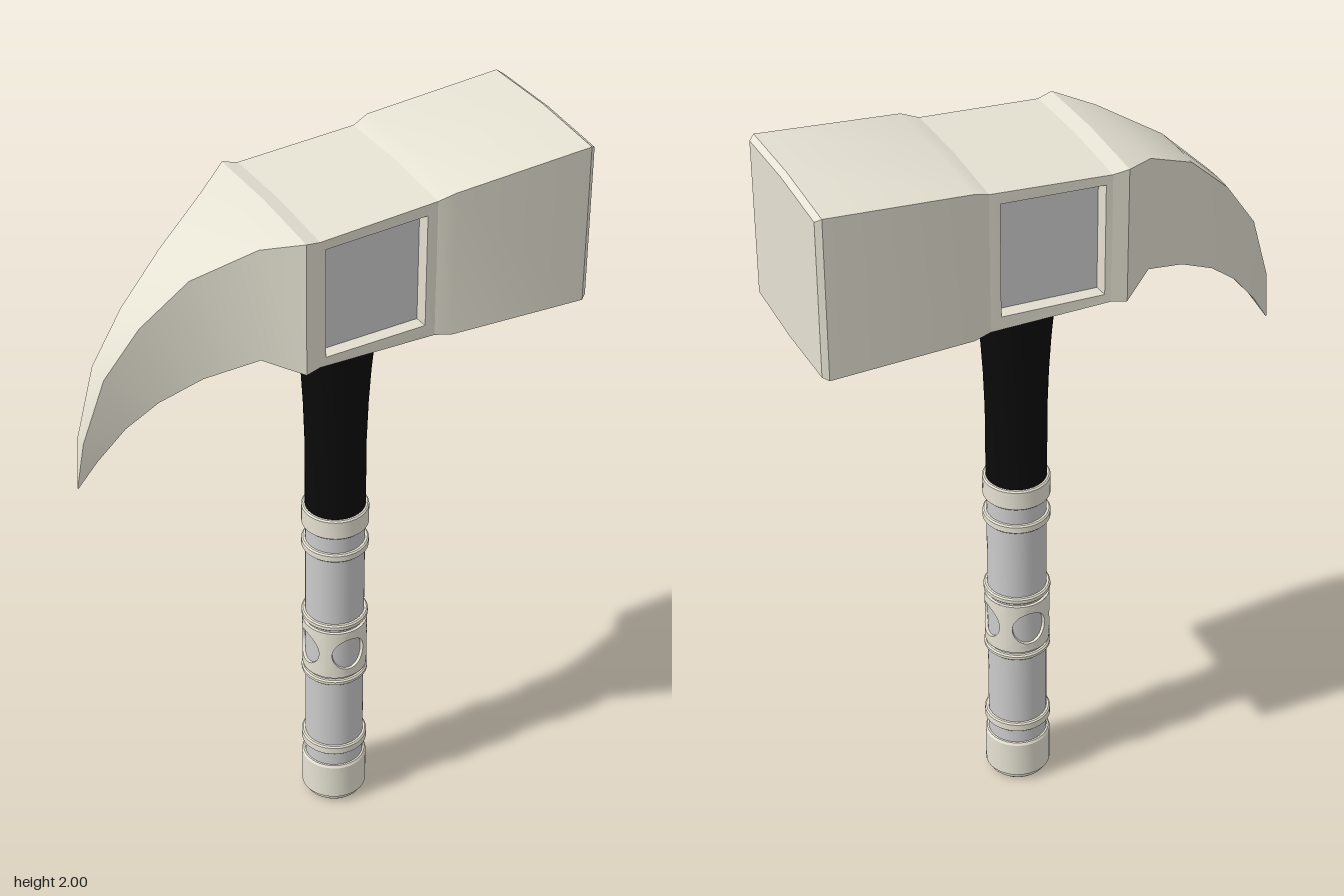
import * as THREE from 'three';
import { toCreasedNormals } from 'three/addons/utils/BufferGeometryUtils.js';

const stone = new THREE.MeshStandardMaterial({ color: 0xe6e2d3 });
const black = new THREE.MeshStandardMaterial({ color: 0x0a0a0a });
const grey = new THREE.MeshStandardMaterial({ color: 0xcccccc });
const AXIS = 0.06; // x of the handle

// Skins a row of equal-length rings; skip lists ring edges left open
function loft(rings, { cap = false, skip = [] } = {}) {
  const out = [];
  const tri = (...points) => points.forEach((p) => out.push(...p));
  for (let i = 0; i < rings.length - 1; i++) {
    const n = rings[i].length;
    for (let j = 0; j < n; j++) {
      if (skip.includes(j)) continue;
      const k = (j + 1) % n;
      tri(rings[i][j], rings[i][k], rings[i + 1][k]);
      tri(rings[i][j], rings[i + 1][k], rings[i + 1][j]);
    }
  }
  const last = rings[rings.length - 1];
  if (cap) for (let j = 1; j < last.length - 1; j++) tri(last[0], last[j], last[j + 1]);
  const geo = new THREE.BufferGeometry();
  geo.setAttribute('position', new THREE.Float32BufferAttribute(out, 3));
  return toCreasedNormals(geo, 0.5);
}

function add(parent, name, geo, mat) {
  const mesh = new THREE.Mesh(geo, mat);
  mesh.name = name;
  parent.add(mesh);
  return mesh;
}

function turned(parent, name, profile, mat) {
  const points = profile.map(([r, y]) => new THREE.Vector2(r, y));
  return add(parent, name, toCreasedNormals(new THREE.LatheGeometry(points, 40), 0.5), mat);
}

// Head cross-section with slightly bowed top and bottom
function section([xT, yT, hT, xB, yB, hB]) {
  const bT = hT * 0.04, bB = hB * 0.04;
  return [
    [xT, yT, 0], [xT, yT - bT, hT], [xB, yB + bB, hB],
    [xB, yB, 0], [xB, yB + bB, -hB], [xT, yT - bT, -hT],
  ];
}
const upright = (x, yT, yB, h) => section([x, yT, h, x, yB, h]);

function createHead() {
  const head = new THREE.Group();
  head.name = 'head';
  const cheekBack = upright(-0.1, 1.937, 1.568, 0.213);
  const cheekFront = upright(0.22, 1.957, 1.562, 0.21);

  // Curved spike, from tip to collar
  const spike = [
    [-0.66, 1.272, 0.001, -0.658, 1.27, 0.001],
    [-0.645, 1.41, 0.017, -0.61, 1.345, 0.017],
    [-0.59, 1.59, 0.034, -0.54, 1.43, 0.036],
    [-0.5, 1.72, 0.052, -0.46, 1.495, 0.06],
    [-0.38, 1.835, 0.082, -0.355, 1.55, 0.094],
    [-0.23, 1.918, 0.152, -0.23, 1.598, 0.155],
  ].map(section);
  const collar = upright(-0.14, 1.946, 1.562, 0.22);
  add(head, 'spike', loft([...spike, collar, cheekBack]), stone);

  // Middle block, open at the sides for the recessed panels
  add(head, 'middleBlock', loft([cheekBack, cheekFront], { skip: [1, 4] }), stone);

  // Striking block with a chamfered face
  add(head, 'strikingBlock', loft([
    cheekFront,
    upright(0.265, 1.973, 1.555, 0.22),
    upright(0.64, 2, 1.545, 0.224),
    upright(0.655, 1.99, 1.553, 0.213),
  ], { cap: true }), stone);

  // Window frames and inset panels on both sides
  for (const side of [1, -1]) {
    const order = (ring) => (side > 0 ? ring : [...ring].reverse());
    const window = (inset, z) => order([
      [-0.083 + inset, 1.6 + inset, z * side], [0.192 - inset, 1.607 + inset, z * side],
      [0.192 - inset, 1.917 - inset, z * side], [-0.083 + inset, 1.903 - inset, z * side],
    ]);
    const [top, bottom] = side > 0 ? [1, 2] : [5, 4];
    const outer = order([cheekBack[bottom], cheekFront[bottom], cheekFront[top], cheekBack[top]]);
    const floor = window(0.01, 0.188);
    add(head, 'windowFrame', loft([outer, window(0, 0.211), floor]), stone);
    add(head, 'sidePanel', loft([floor], { cap: true }), grey);
  }
  return head;
}

// One quarter of the grip band, pierced by a round hole
function bandQuarter() {
  const R = 0.087, n = 40;
  const ring = (t, r) => Array.from({ length: n }, (_, i) => {
    const a = (i / n) * Math.PI * 2, c = Math.cos(a), s = Math.sin(a);
    const square = 1 / Math.max(Math.abs(c), Math.abs(s));
    const phi = THREE.MathUtils.lerp(0.05 / R, (Math.PI / 4) * square, t) * c;
    const y = THREE.MathUtils.lerp(0.05, 0.076 * square, t) * s;
    return [r * Math.sin(phi), y, r * Math.cos(phi)];
  });
  return loft([...[1, 0.75, 0.5, 0.25, 0].map((t) => ring(t, R)), ring(0, 0.077)]);
}

function createHandle() {
  const handle = new THREE.Group();
  handle.name = 'handle';
  handle.position.x = AXIS;

  // Flared shaft under the head
  turned(handle, 'shaft', [
    [0.08, 0.96], [0.08, 1.18], [0.084, 1.3], [0.09, 1.4], [0.098, 1.49], [0.106, 1.56], [0.108, 1.6],
  ], black);
  turned(handle, 'gripCore', [[0.079, 0.1], [0.079, 0.97]], grey);

  // Pommel with a bevelled foot
  turned(handle, 'pommel', [
    [0, 0], [0.07, 0], [0.078, 0.008], [0.08, 0.018], [0.088, 0.024], [0.088, 0.128], [0.084, 0.135], [0.077, 0.135],
  ], stone);

  // Raised rings along the grip
  for (const [y0, y1] of [[0.178, 0.206], [0.426, 0.442], [0.614, 0.632], [0.845, 0.87], [0.92, 0.98]]) {
    const b = 0.004;
    turned(handle, 'gripRing', [
      [0.074, y0], [0.085, y0], [0.089, y0 + b], [0.089, y1 - b], [0.085, y1], [0.074, y1],
    ], stone);
  }

  // Band with four round windows, closed at its rims
  for (let i = 0; i < 4; i++) {
    add(handle, 'gripBand', bandQuarter(), stone).position.y = 0.528;
    handle.children[handle.children.length - 1].rotation.y = (i * Math.PI) / 2;
  }
  turned(handle, 'bandLowerRim', [[0.077, 0.452], [0.087, 0.452]], stone);
  turned(handle, 'bandUpperRim', [[0.087, 0.604], [0.077, 0.604]], stone);
  return handle;
}

export function createModel() {
  const model = new THREE.Group();
  model.name = 'spikedHammer';
  model.add(createHead(), createHandle());
  return model;
}
